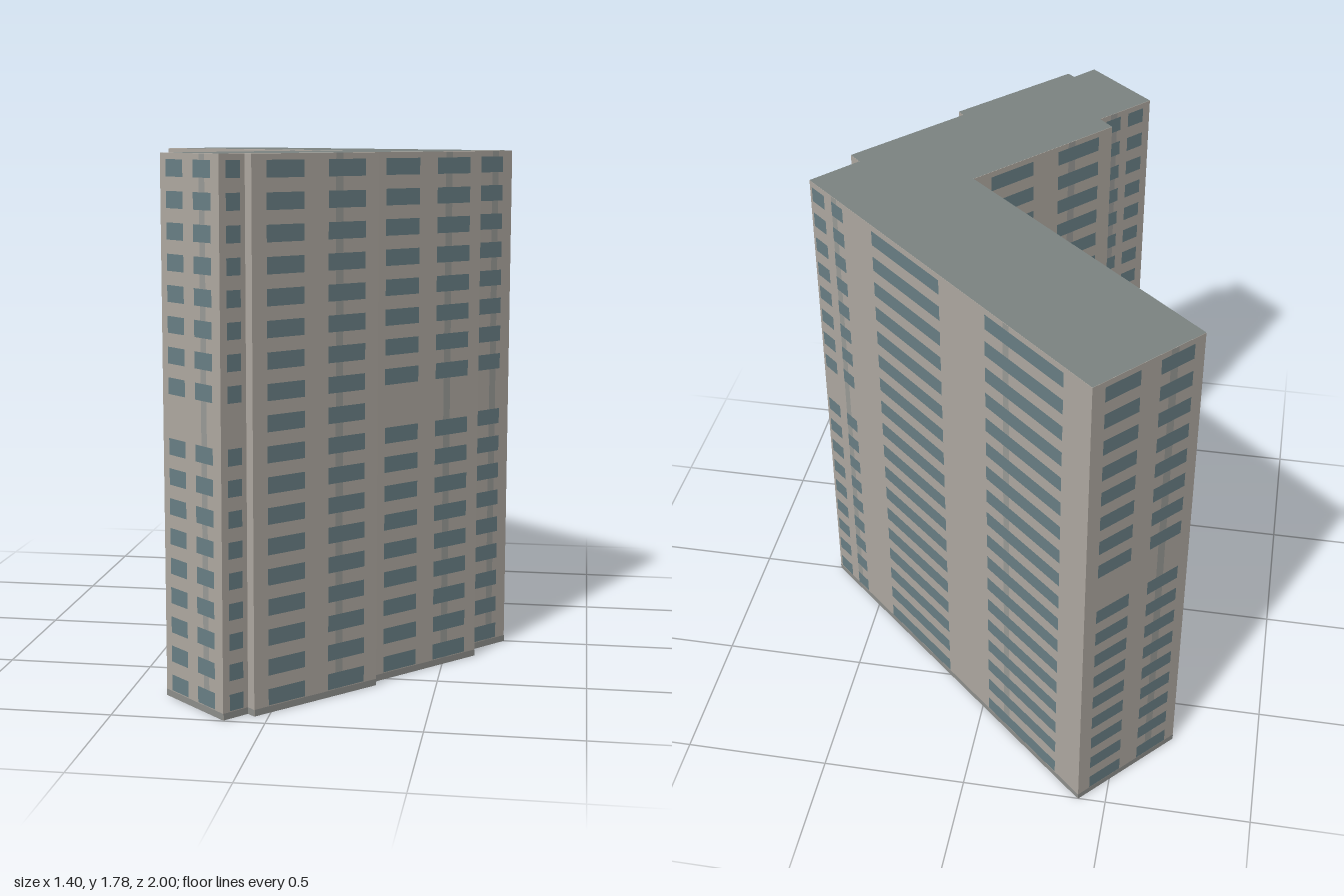
import * as THREE from 'three';
import { mergeGeometries } from 'three/addons/utils/BufferGeometryUtils.js';

const HEIGHT = 1.775, FLOORS = 18, PITCH = HEIGHT / FLOORS, BLANK_FLOOR = 9;

// Footprint corners as [x, z], walked so that the outside lies to the left
const CORNERS = [
  [-0.405, -1], [0.70, 0], [0.565, 0.155], [0.605, 0.193], [0.28, 0.55], [0.30, 0.573], [-0.045, 0.943],
  [-0.07, 0.92], [-0.135, 0.995], [-0.37, 0.78], [-0.21, 0.605], [-0.26, 0.555], [0.155, 0.105], [-0.70, -0.67],
];

// Per wall (by its first corner): window columns as [from, to, skips the blank floor], and pipe positions
const FACADES = {
  0: { name: 'back', columns: [[0.085, 0.34], [0.5, 0.75], [0.865, 0.91, true], [0.94, 0.99, true]], pipes: [0.27, 0.9] },
  1: { name: 'corner', columns: [[0.23, 0.8, true]], pipes: [0.4] },
  3: { name: 'sideRear', columns: [[0.11, 0.42, true], [0.585, 0.89, true]], pipes: [0.31] },
  5: { name: 'sideFront', columns: [[0.11, 0.41], [0.6, 0.89]], pipes: [0.32] },
  7: { name: 'endNotch', columns: [[0.2, 0.75, true]], pipes: [] },
  8: { name: 'frontEnd', columns: [[0.13, 0.425, true], [0.6, 0.89, true]], pipes: [0.28] },
  9: { name: 'innerFront', columns: [[0.14, 0.44, true], [0.59, 0.88, true]], pipes: [0.72] },
  11: { name: 'innerRear', columns: [[0.1, 0.4], [0.58, 0.88]], pipes: [0.3] },
  12: { name: 'courtyard', columns: [[0.15, 0.46], [0.59, 0.9]], pipes: [0.3] },
  13: { name: 'rearEnd', columns: [[0.1, 0.4, true], [0.58, 0.89, true]], pipes: [0.28] },
};

const paint = (color) => new THREE.MeshStandardMaterial({ color });

// Flat panel on the wall between corners i and i + 1; a and b run along the wall
function panel(i, a, b, y0, y1, offset) {
  const [x0, z0] = CORNERS[i];
  const [x1, z1] = CORNERS[(i + 1) % CORNERS.length];
  const dx = x1 - x0, dz = z1 - z0, length = Math.hypot(dx, dz), t = (a + b) / 2;
  const geometry = new THREE.PlaneGeometry((b - a) * length, y1 - y0);
  geometry.rotateY(Math.atan2(dz, -dx));
  geometry.translate(x0 + dx * t + (dz / length) * offset, (y0 + y1) / 2, z0 + dz * t - (dx / length) * offset);
  return geometry;
}

export function createModel() {
  const group = new THREE.Group();
  const wall = paint(0xb0aaa2), roofGrey = paint(0x7c8482), glass = paint(0x6a8086);
  const pipeGrey = paint(0x9b9c98), baseGrey = paint(0x8f908d);
  const add = (name, geometry, material) => {
    const mesh = new THREE.Mesh(geometry, material);
    mesh.name = name;
    group.add(mesh);
  };

  // Tower body and roof
  const plan = new THREE.Shape(CORNERS.map(([x, z]) => new THREE.Vector2(x, -z)));
  add('walls', new THREE.ExtrudeGeometry(plan, { depth: HEIGHT, bevelEnabled: false }).rotateX(-Math.PI / 2), wall);
  add('roof', new THREE.ShapeGeometry(plan).rotateX(-Math.PI / 2).translate(0, HEIGHT + 0.001, 0), roofGrey);

  // Darker base course around the foot
  add('baseCourse', mergeGeometries(CORNERS.map((_, i) => panel(i, 0, 1, 0, 0.022, 0.001))), baseGrey);

  // Windows and vertical pipes, wall by wall
  for (const [key, { name, columns, pipes }] of Object.entries(FACADES)) {
    const i = Number(key), panes = [];
    for (const [a, b, skips] of columns) {
      for (let floor = 0; floor < FLOORS; floor++) {
        if (skips && floor === BLANK_FLOOR) continue;
        const y = (floor + 0.53) * PITCH;
        panes.push(panel(i, a, b, y - 0.027, y + 0.027, 0.002));
      }
    }
    add(name + 'Windows', mergeGeometries(panes), glass);
    const [x0, z0] = CORNERS[i], [x1, z1] = CORNERS[(i + 1) % CORNERS.length];
    const half = 0.015 / Math.hypot(x1 - x0, z1 - z0);
    for (const t of pipes) add(name + 'Pipe', panel(i, t - half, t + half, 0.022, HEIGHT, 0.001), pipeGrey);
  }
  return group;
}
